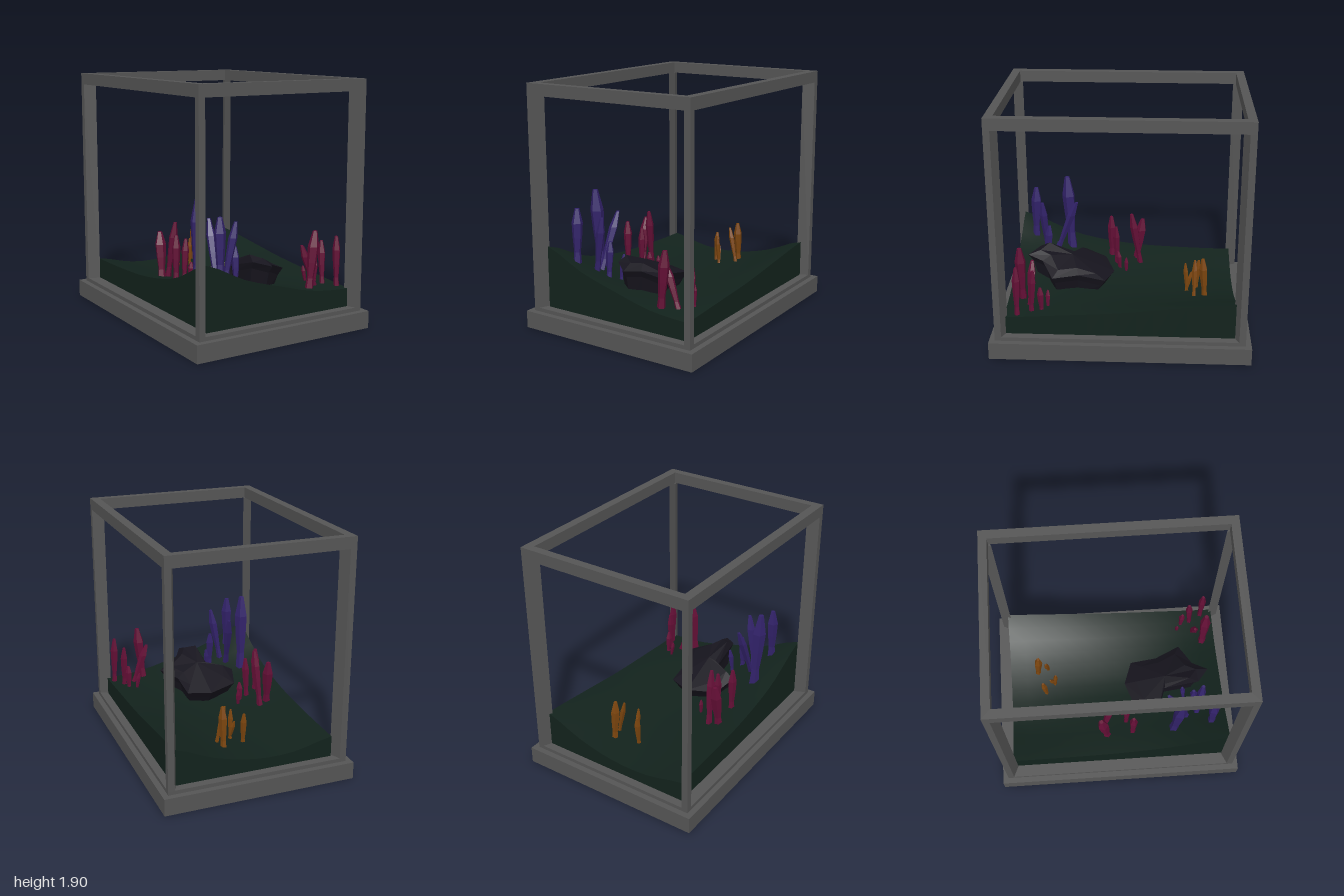
import * as THREE from 'three';
import { toCreasedNormals } from 'three/addons/utils/BufferGeometryUtils.js';

const mat = (color, flatShading = true) => new THREE.MeshStandardMaterial({ color, flatShading });
const FRAME = mat(0x555555), SOIL = mat(0x12221c, false), ROCK = mat(0x16141d);
const PURPLE = mat(0x32226a), RED = mat(0x640f36), AMBER = mat(0x7c450e);

// Ground heights: rows run from back to front, columns from -x to +x
const X0 = -0.62, X1 = 0.65, Z = 0.89;
const GROUND = [
  [0.33, 0.26, 0.26, 0.33, 0.455],
  [0.34, 0.28, 0.26, 0.31, 0.41],
  [0.37, 0.31, 0.27, 0.30, 0.36],
  [0.46, 0.38, 0.32, 0.31, 0.33],
  [0.65, 0.505, 0.41, 0.33, 0.305],
];
const spline = (values, t) =>
  new THREE.SplineCurve(values.map((v, i) => new THREE.Vector2(i, v))).getPoint(THREE.MathUtils.clamp(t, 0, 1)).y;
const groundY = (x, z) => spline(GROUND.map(row => spline(row, (x - X0) / (X1 - X0))), (z + Z) / (2 * Z));

function add(parent, name, geometry, material, x = 0, y = 0, z = 0) {
  const mesh = new THREE.Mesh(geometry, material);
  mesh.name = name;
  mesh.position.set(x, y, z);
  parent.add(mesh);
  return mesh;
}

// Upright extrusion of a plan outline given as [x, z]
function extrudeUp(points, height, hole) {
  const toVec = p => new THREE.Vector2(p[0], -p[1]);
  const shape = new THREE.Shape(points.map(toVec));
  if (hole) shape.holes.push(new THREE.Path(hole.map(toVec)));
  return new THREE.ExtrudeGeometry(shape, { depth: height, bevelEnabled: false }).rotateX(-Math.PI / 2);
}
const rect = (w, d) => [[-w, -d], [-w, d], [w, d], [w, -d]];

// Soil block with a rolling top
function soilGeometry() {
  const bottom = 0.15;
  const g = new THREE.BoxGeometry(X1 - X0, 1, 2 * Z, 12, 1, 14);
  g.translate((X0 + X1) / 2, 0, 0);
  const p = g.attributes.position;
  for (let i = 0; i < p.count; i++) {
    p.setY(i, p.getY(i) > 0 ? groundY(p.getX(i), p.getZ(i)) : bottom);
  }
  return toCreasedNormals(g, 0.7);
}

// Leaning slab of rock: rings from the buried foot to the crown
function rockGeometry() {
  const rim = [
    [-0.02, 0.40, 0.08], [-0.255, 0.42, 0.16], [-0.31, 0.47, 0.34], [-0.115, 0.50, 0.41], [-0.1, 0.58, 0.69],
    [0.015, 0.55, 0.78], [0.085, 0.53, 0.655], [0.265, 0.46, 0.56], [0.175, 0.45, 0.36], [0.165, 0.40, 0.145],
  ];
  const cx = -0.02, cz = 0.42, n = rim.length, pos = [], index = [];
  const ring = (scale, yOf) => rim.forEach(([x, y, z]) =>
    pos.push(cx + (x - cx) * scale, yOf(y), cz + (z - cz) * scale));
  ring(0.72, () => 0.25);
  ring(0.88, y => y - 0.07);
  ring(1, y => y - 0.015);
  ring(0.72, y => y + 0.025);
  pos.push(cx, 0.53, cz);
  for (let i = 0; i < n; i++) {
    const j = (i + 1) % n;
    for (let r = 0; r < 3; r++) {
      const a = r * n + i, b = r * n + j;
      index.push(a, b, b + n, a, b + n, a + n);
    }
    index.push(3 * n + i, 3 * n + j, 4 * n);
  }
  const g = new THREE.BufferGeometry();
  g.setAttribute('position', new THREE.Float32BufferAttribute(pos, 3));
  g.setIndex(index);
  g.computeVertexNormals();
  return g;
}

// Faceted frond: waisted prism leaning from its base to its tip
function frondGeometry(bx, bz, tx, tz, top, radius, turn) {
  const profile = [0.8, 0.6, 0.85, 1, 0.4];
  const g = new THREE.CylinderGeometry(1, 1, 1, 5, 4).rotateY(turn);
  const p = g.attributes.position, foot = groundY(bx, bz) - 0.04;
  for (let i = 0; i < p.count; i++) {
    const t = p.getY(i) + 0.5, r = radius * profile[Math.round(t * 4)];
    p.setXYZ(i, bx + (tx - bx) * t + p.getX(i) * r, foot + (top - foot) * t, bz + (tz - bz) * t + p.getZ(i) * r);
  }
  g.computeVertexNormals();
  return g;
}

// Each frond: base x, base z, tip x, tip z, tip height, radius
const CLUMPS = [
  ['purpleFronds', PURPLE, [
    [-0.44, 0.46, -0.46, 0.50, 1.04, 0.055], [-0.43, 0.77, -0.43, 0.76, 0.95, 0.045],
    [-0.33, 0.66, -0.25, 0.69, 0.885, 0.035], [-0.35, 0.59, -0.31, 0.41, 0.87, 0.035],
    [-0.22, 0.65, -0.22, 0.63, 0.69, 0.032], [-0.17, 0.57, -0.15, 0.55, 0.58, 0.022]]],
  ['redFrondsBack', RED, [
    [-0.44, -0.09, -0.43, -0.14, 0.68, 0.045], [-0.37, -0.13, -0.34, -0.05, 0.76, 0.035],
    [-0.43, 0.12, -0.43, 0.125, 0.70, 0.035], [-0.33, 0.07, -0.32, 0.08, 0.65, 0.03],
    [-0.26, 0.04, -0.26, 0.06, 0.45, 0.025], [-0.22, -0.01, -0.22, -0.01, 0.41, 0.018]]],
  ['redFrondsFront', RED, [
    [0.35, 0.78, 0.395, 0.79, 0.765, 0.045], [0.47, 0.71, 0.34, 0.70, 0.64, 0.033],
    [0.61, 0.79, 0.60, 0.79, 0.70, 0.032], [0.55, 0.69, 0.55, 0.67, 0.65, 0.03],
    [0.53, 0.61, 0.53, 0.62, 0.50, 0.027], [0.48, 0.57, 0.45, 0.57, 0.44, 0.018]]],
  ['amberFronds', AMBER, [
    [0.17, -0.66, 0.17, -0.635, 0.60, 0.035], [0.20, -0.57, 0.13, -0.575, 0.57, 0.022],
    [-0.015, -0.59, -0.015, -0.61, 0.50, 0.025], [0.06, -0.52, 0.05, -0.50, 0.50, 0.02],
    [0.07, -0.50, 0.04, -0.55, 0.42, 0.018]]],
];

export function createModel() {
  const model = new THREE.Group();
  model.name = 'terrarium';

  // Plinth, sill and open top rim
  add(model, 'base', new THREE.BoxGeometry(1.52, 0.135, 2), FRAME, 0, 0.0675, 0);
  add(model, 'sill', new THREE.BoxGeometry(1.43, 0.03, 1.91), FRAME, 0, 0.15, 0);
  add(model, 'topRim', extrudeUp(rect(0.715, 0.955), 0.09, rect(0.645, 0.89)), FRAME, 0, 1.81, 0);

  // Kite-section corner posts
  for (const sx of [-1, 1]) for (const sz of [-1, 1]) {
    const kite = [[0.715, 0.955], [0.665, 0.955], [0.625, 0.866], [0.715, 0.905]].map(([x, z]) => [sx * x, sz * z]);
    add(model, 'cornerPost', extrudeUp(kite, 1.645), FRAME, 0, 0.165, 0);
  }

  add(model, 'soil', soilGeometry(), SOIL);
  add(model, 'rock', rockGeometry(), ROCK);

  // Plant clumps
  for (const [name, material, fronds] of CLUMPS) {
    const clump = new THREE.Group();
    clump.name = name;
    fronds.forEach((f, i) => add(clump, 'frond', frondGeometry(...f, i * 1.3), material));
    model.add(clump);
  }
  return model;
}
